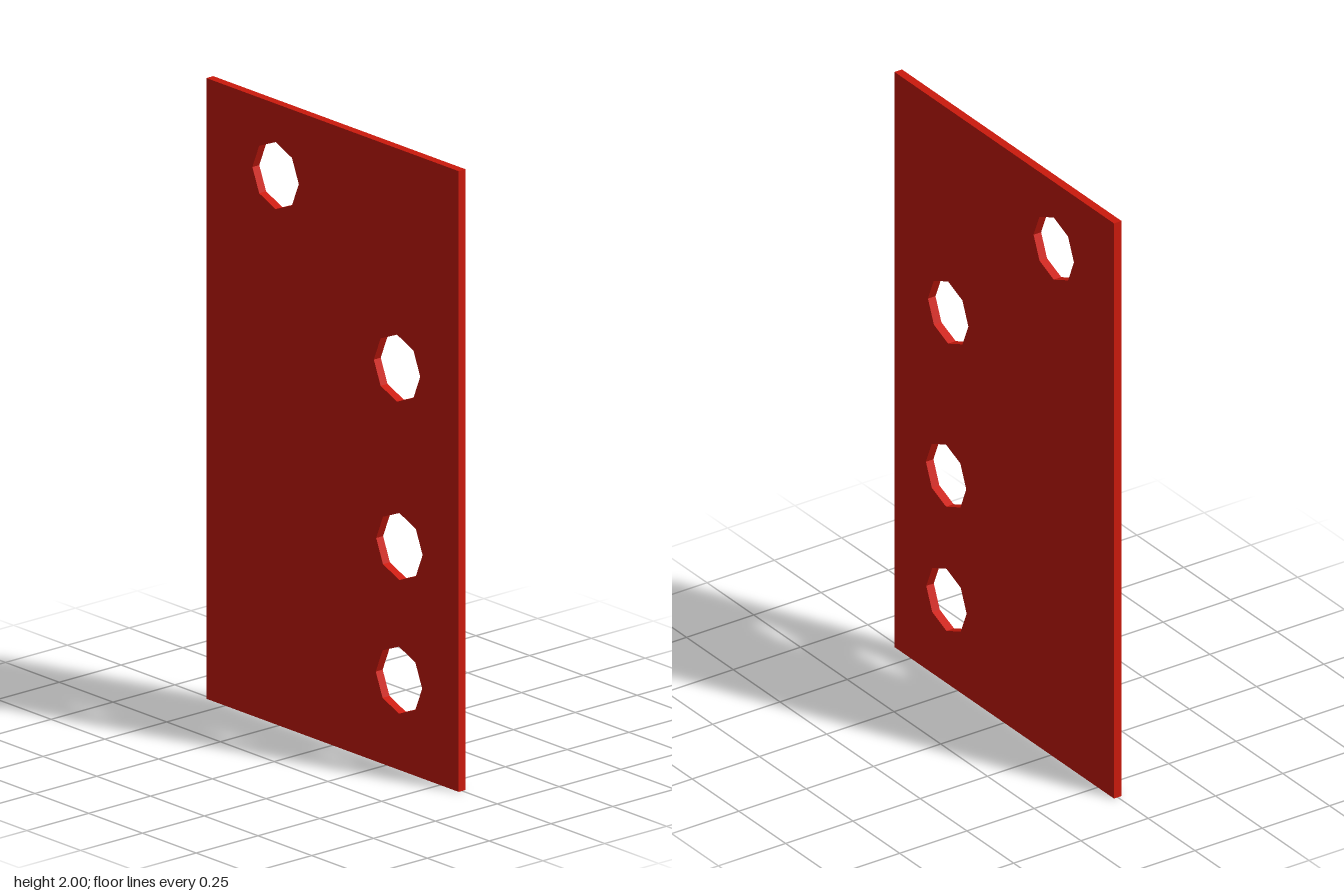
import * as THREE from 'three';

const HALF_WIDTH = 0.587, HEIGHT = 2, THICKNESS = 0.028;
const HOLE_RADIUS = 0.108, HOLE_SIDES = 8;
// hole centres as [z, y]
const HOLES = [[-0.265, 1.768], [0.3, 1.292], [0.311, 0.72], [0.309, 0.289]];

// Octagonal hole with a corner pointing straight up
function octagon(cx, cy) {
  const points = [];
  for (let i = 0; i < HOLE_SIDES; i++) {
    const a = -i / HOLE_SIDES * Math.PI * 2;
    points.push(new THREE.Vector2(cx + HOLE_RADIUS * Math.cos(a), cy + HOLE_RADIUS * Math.sin(a)));
  }
  return new THREE.Path(points).closePath();
}

export function createModel() {
  const group = new THREE.Group();
  group.name = 'perforatedPanel';

  // Upright rectangular plate; the shape's x axis becomes -z after turning
  const outline = new THREE.Shape([
    new THREE.Vector2(-HALF_WIDTH, 0),
    new THREE.Vector2(HALF_WIDTH, 0),
    new THREE.Vector2(HALF_WIDTH, HEIGHT),
    new THREE.Vector2(-HALF_WIDTH, HEIGHT),
  ]);
  for (const [z, y] of HOLES) outline.holes.push(octagon(-z, y));

  const geometry = new THREE.ExtrudeGeometry(outline, { depth: THICKNESS, bevelEnabled: false });
  geometry.translate(0, 0, -THICKNESS / 2);
  geometry.rotateY(Math.PI / 2);

  const panel = new THREE.Mesh(geometry, new THREE.MeshStandardMaterial({ color: 0xcc1a0d, flatShading: true }));
  panel.name = 'panel';
  group.add(panel);
  return group;
}
